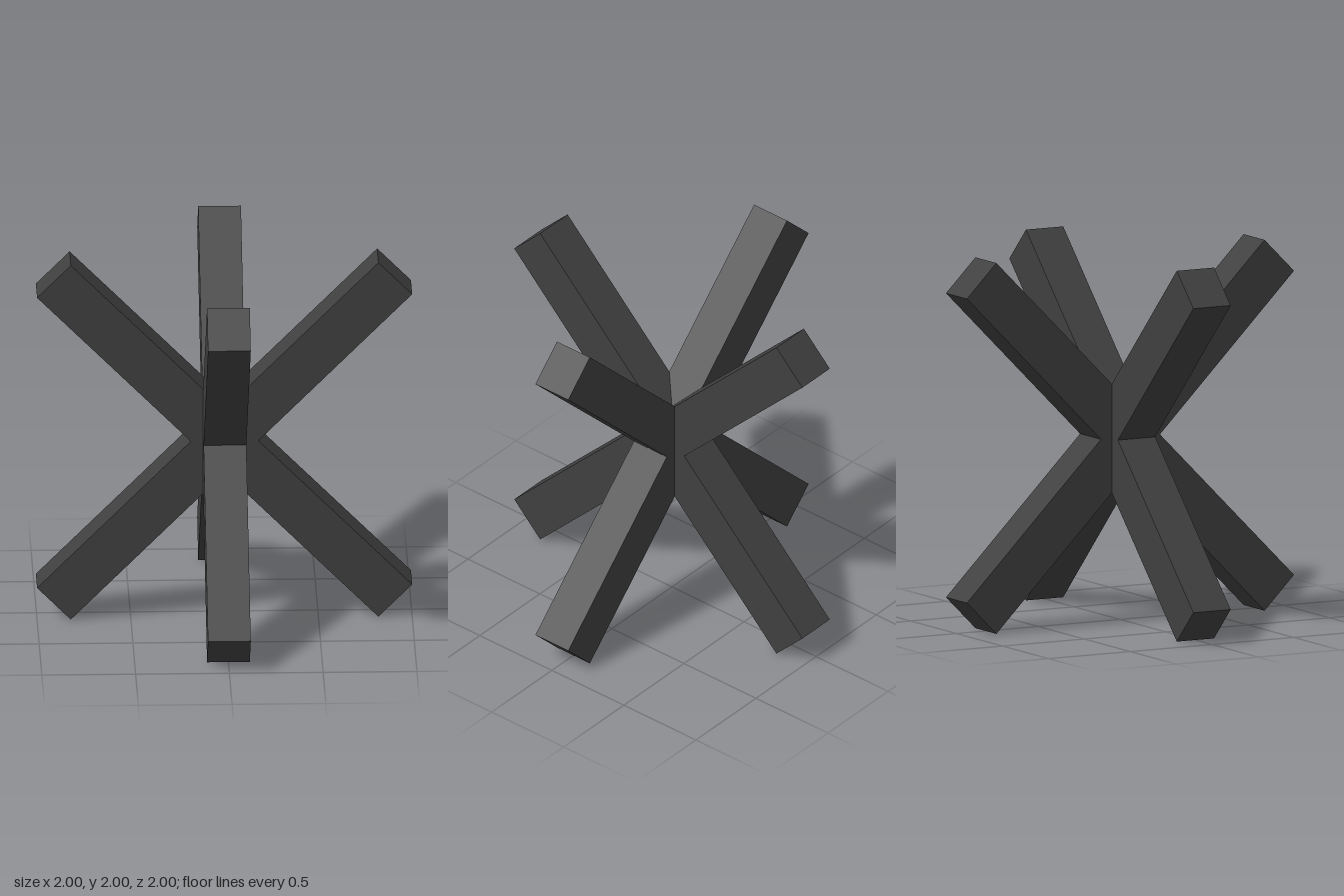
import * as THREE from 'three';

const REACH = 1;        // outermost corner of a beam
const WAIST = 0.18;     // inner corner of the crossing
const THICKNESS = 0.228;

// X-shaped outline of two square-ended beams crossing at right angles
function crossShape() {
  const shape = new THREE.Shape();
  const points = [];
  for (let i = 0; i < 4; i++) {
    const a = (i * Math.PI) / 2;
    for (const [x, y] of [[WAIST, 0], [REACH, REACH - WAIST], [REACH - WAIST, REACH]]) {
      points.push(new THREE.Vector2(x, y).rotateAround(new THREE.Vector2(), a));
    }
  }
  shape.setFromPoints(points);
  return shape;
}

export function createModel() {
  const group = new THREE.Group();
  group.name = 'crossedBeams';
  const material = new THREE.MeshStandardMaterial({ color: 0x404040 });

  const geometry = new THREE.ExtrudeGeometry(crossShape(), { depth: THICKNESS, bevelEnabled: false });
  geometry.translate(0, 0, -THICKNESS / 2);

  // One pair of beams faces the front, the other faces the sides
  ['frontBeamPair', 'sideBeamPair'].forEach((name, i) => {
    const pair = new THREE.Mesh(geometry, material);
    pair.name = name;
    pair.position.y = REACH;
    pair.rotation.y = (i * Math.PI) / 2;
    group.add(pair);
  });

  return group;
}
